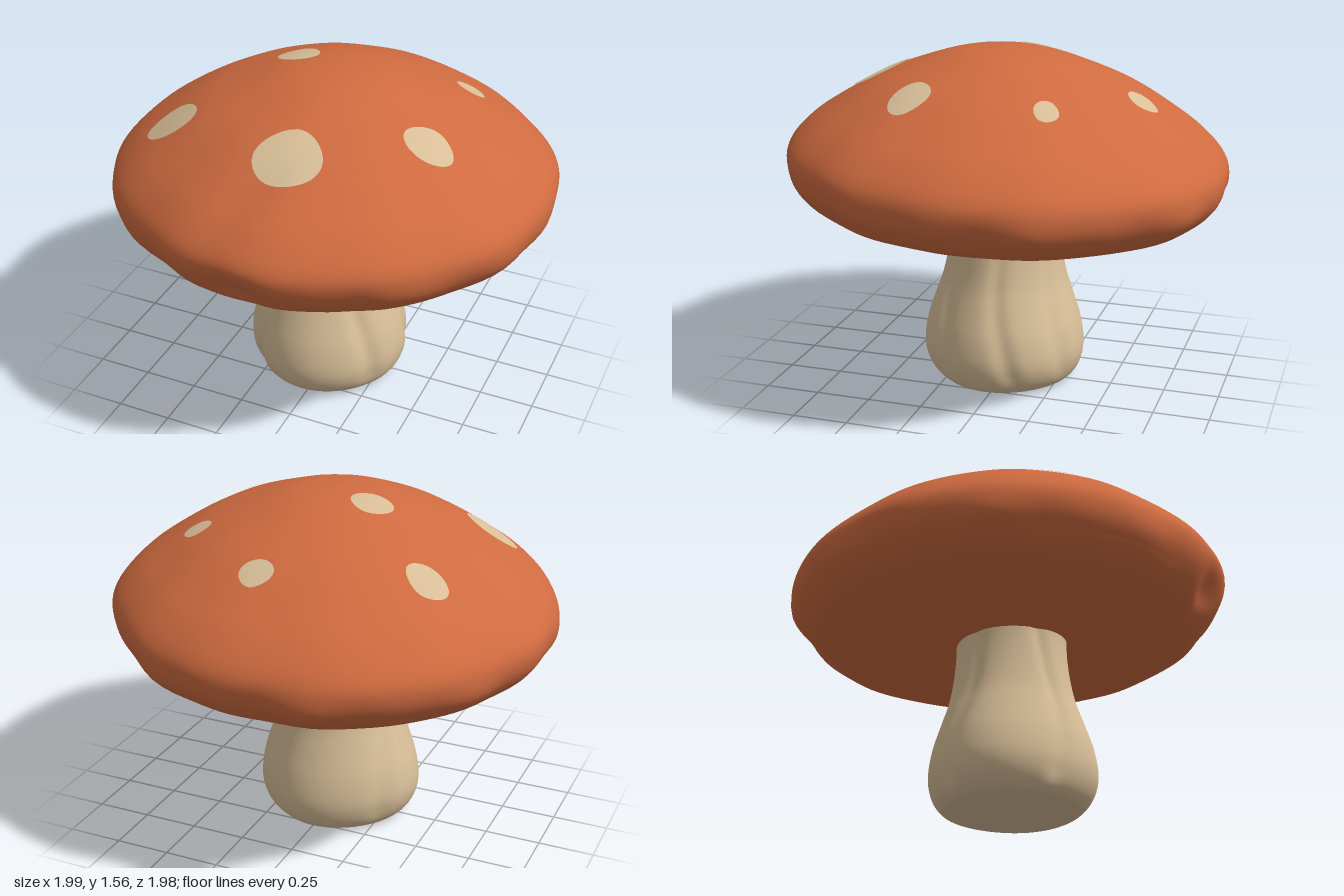
import * as THREE from 'three';
import { mergeVertices } from 'three/addons/utils/BufferGeometryUtils.js';

// [radius, height], from the bottom centre to the top centre
const CAP = [[0, 0.81], [0.2, 0.8], [0.4, 0.782], [0.6, 0.787], [0.8, 0.822], [0.9, 0.87],
  [0.97, 0.95], [0.99, 1.03], [0.97, 1.1], [0.9, 1.18], [0.8, 1.26], [0.6, 1.387],
  [0.4, 1.472], [0.2, 1.535], [0, 1.555]];
const STEM = [[0, 0], [0.14, 0], [0.27, 0.003], [0.32, 0.03], [0.355, 0.09], [0.367, 0.17],
  [0.35, 0.28], [0.312, 0.4], [0.28, 0.5], [0.258, 0.62], [0.247, 0.75], [0.25, 0.86]];

// x, z, half width, half depth
const SPOTS = [[0.08, -0.63, 0.075, 0.064], [-0.56, -0.37, 0.09, 0.076], [0.515, -0.325, 0.063, 0.052],
  [-0.2, -0.085, 0.095, 0.083], [-0.6, 0.355, 0.116, 0.098], [0.535, 0.257, 0.105, 0.09],
  [0.055, 0.575, 0.147, 0.127]];

const spline = (pts, n) => new THREE.SplineCurve(pts.map(p => new THREE.Vector2(...p))).getPoints(n)
  .map(p => p.setX(Math.max(p.x, 0)));
const bell = (d, w) => Math.exp(-(d * d) / (w * w));
const angleGap = (a, b) => Math.atan2(Math.sin(a - b), Math.cos(a - b));

// Outline of the cap: nearly round, a little flat at front left (angle 0 is the front)
const outline = a => 1.003 - 0.03 * bell(angleGap(a, -0.65), 0.4) - 0.012 * bell(angleGap(a, 0.85), 0.2)
  + 0.005 * Math.sin(7 * a + 1) + 0.003 * Math.sin(13 * a);

// Tilt of the cap and a shallow furrow at the front
function capLift(x, z) {
  const along = (0.15 - x) * 0.6 + (z - 0.5) * 0.8;
  const across = (0.15 - x) * 0.8 - (z - 0.5) * 0.6;
  const furrow = -0.016 * bell(across, 0.09) * bell(along - 0.35, 0.22);
  return 0.022 * x + 0.03 * z + furrow;
}

const capProfile = spline(CAP, 112);
const topProfile = capProfile.slice(56);

// Height of the cap's upper surface
function capTop(x, z) {
  const r = Math.hypot(x, z) / outline(Math.atan2(x, z));
  const i = Math.max(1, topProfile.findIndex(p => p.x <= r));
  const a = topProfile[i - 1], b = topProfile[i];
  return THREE.MathUtils.lerp(a.y, b.y, (a.x - r) / (a.x - b.x)) + capLift(x, z);
}

// Moves every vertex by a rule, then welds and smooths the surface
function reshape(geometry, rule) {
  const pos = geometry.attributes.position, v = new THREE.Vector3();
  for (let i = 0; i < pos.count; i++) {
    rule(v.fromBufferAttribute(pos, i));
    pos.setXYZ(i, v.x, v.y, v.z);
  }
  geometry.deleteAttribute('uv');
  geometry.deleteAttribute('normal');
  const welded = mergeVertices(geometry, 1e-5);
  welded.computeVertexNormals();
  return welded;
}

function capGeometry() {
  return reshape(new THREE.LatheGeometry(capProfile, 128), v => {
    const a = Math.atan2(v.x, v.z), r = Math.hypot(v.x, v.z), y = v.y;
    let s = outline(a);
    // Lumpy lower rim with a tucked notch at the front
    const rim = bell(y - 0.93, 0.09) * THREE.MathUtils.smoothstep(r, 0.6, 0.9);
    s += rim * (0.008 * Math.sin(9 * a + 2) + 0.006 * Math.sin(17 * a)
      - 0.075 * bell(angleGap(a, -0.03), 0.17) - 0.03 * bell(angleGap(a, 0.5), 0.1));
    v.x *= s;
    v.z *= s;
    v.y += capLift(v.x, v.z);
    // Underside sags at the front left
    if (y < 0.9) v.y -= 0.018 * bell(v.x + 0.5, 0.3) * bell(v.z - 0.3, 0.35);
  });
}

// Lengthwise folds of the stem: angle, width, depth
const FOLDS = [[-0.75, 0.12, 0.05], [0.85, 0.13, 0.05], [1.85, 0.12, 0.045], [2.7, 0.14, 0.035], [-2.1, 0.14, 0.04]];

function stemGeometry() {
  return reshape(new THREE.LatheGeometry(spline(STEM, 64), 96), v => {
    const a = Math.atan2(v.x, v.z), y = v.y;
    const body = THREE.MathUtils.smoothstep(y, 0.0, 0.12);
    let s = 1.01 + 0.012 * Math.cos(4 * a + 0.3) + 0.01 * Math.sin(3 * a + 5 * y) * body;
    for (const [angle, width, depth] of FOLDS)
      s -= depth * body * bell(angleGap(a, angle + 0.12 * Math.sin(6 * y + angle)), width);
    v.x = v.x * s - 0.014;
    v.z = v.z * s + 0.016;
  });
}

// Rounded patch laid just over the cap
function spotGeometry([cx, cz, w, d]) {
  const disc = new THREE.RingGeometry(0, 1, 40, 8).rotateX(-Math.PI / 2);
  return reshape(disc, v => {
    const pinch = 1 + 0.12 * v.z - 0.12 * v.z * v.z;
    v.x = cx + v.x * w * pinch;
    v.z = cz + v.z * d;
    v.y = capTop(v.x, v.z) + 0.005;
  });
}

export function createModel() {
  const orange = new THREE.MeshStandardMaterial({ color: 0xcf6b40 });
  orange.name = 'cap orange';
  const cream = new THREE.MeshStandardMaterial({ color: 0xd8be98 });
  cream.name = 'stem cream';

  const model = new THREE.Group();
  model.name = 'mushroom';
  const add = (name, geometry, material, parent = model) => {
    const mesh = new THREE.Mesh(geometry, material);
    mesh.name = name;
    parent.add(mesh);
  };

  add('stem', stemGeometry(), cream);
  add('cap', capGeometry(), orange);

  const spots = new THREE.Group();
  spots.name = 'spots';
  model.add(spots);
  SPOTS.forEach((spot, i) => add(`spot${i + 1}`, spotGeometry(spot), cream, spots));
  return model;
}
